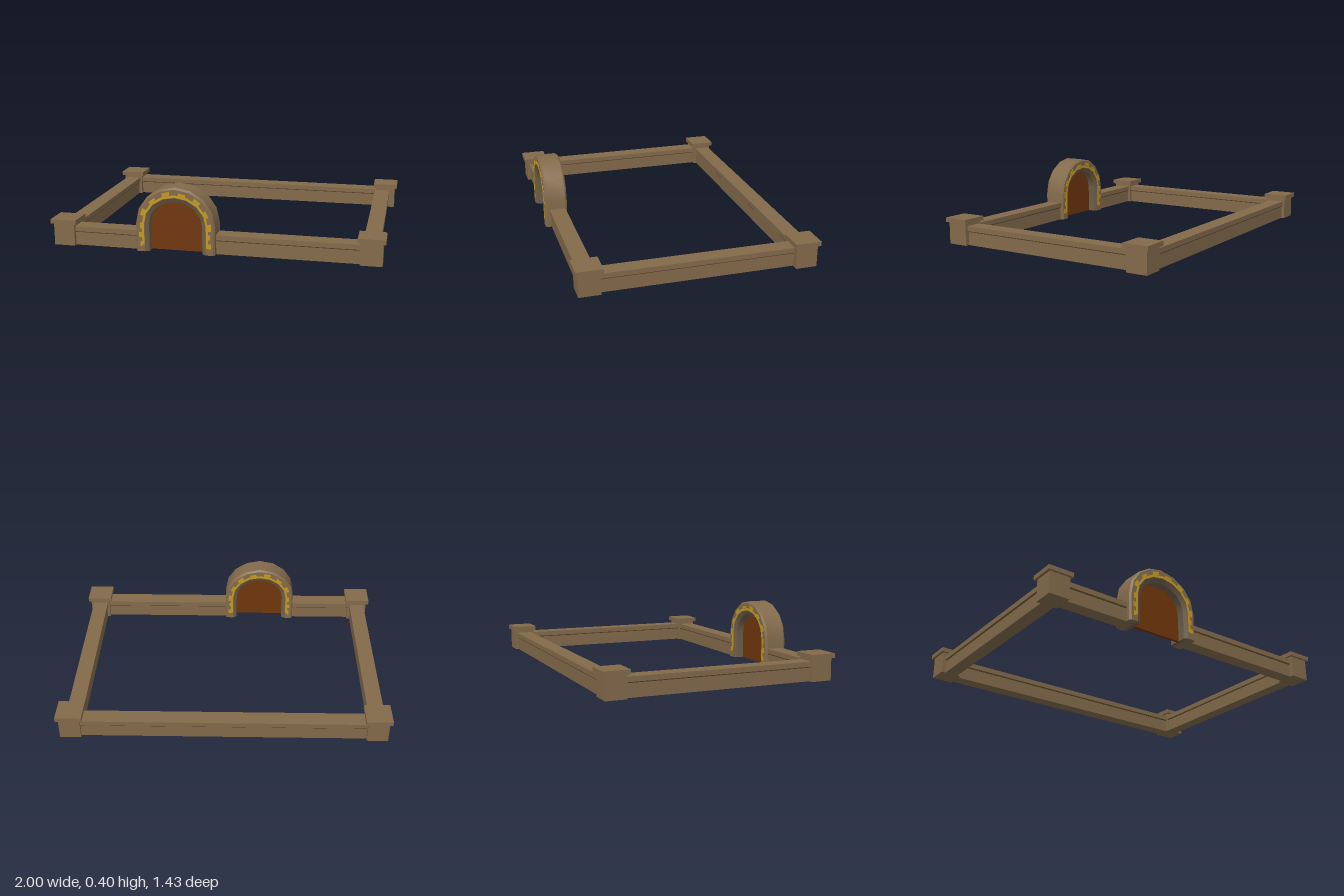
import * as THREE from 'three';
import { toCreasedNormals } from 'three/addons/utils/BufferGeometryUtils.js';

const mat = (name, color) => {
  const m = new THREE.MeshStandardMaterial({ color });
  m.name = name;
  return m;
};

// Arch path: s -1..0 left leg, 0..1 curve, 1..2 right leg; o is the half width
const SPRING = 0.17;
function archPoint(o, s) {
  if (s < 0) return [-o, SPRING * (1 + s)];
  if (s > 1) return [o, SPRING * (2 - s)];
  const a = Math.PI * (1 - s);
  const rise = 0.135 + (o - 0.158) * 1.13;
  return [Math.cos(a) * o, SPRING + Math.sin(a) * rise];
}
function steps(s0, s1) {
  const list = [s0];
  for (let k = 0; k <= 8; k++) if (k / 8 > s0 + 1e-4 && k / 8 < s1 - 1e-4) list.push(k / 8);
  return [...list, s1];
}

// Sweep a convex closed profile of [halfWidth, z] along the arch path
function sweep(profile, s0, s1) {
  const path = steps(s0, s1), n = profile.length, pos = [], idx = [];
  for (const s of path) for (const [o, z] of profile) pos.push(...archPoint(o, s), z);
  for (let i = 0; i < path.length - 1; i++) {
    for (let j = 0; j < n; j++) {
      const a = i * n + j, b = i * n + (j + 1) % n;
      idx.push(a, b, a + n, b, b + n, a + n);
    }
  }
  const e = (path.length - 1) * n;
  for (let j = 1; j < n - 1; j++) idx.push(0, j + 1, j, e, e + j, e + j + 1);
  const g = new THREE.BufferGeometry();
  g.setAttribute('position', new THREE.Float32BufferAttribute(pos, 3));
  g.setIndex(idx);
  return toCreasedNormals(g, 0.6);
}

export function createModel() {
  const model = new THREE.Group();
  model.name = 'walledYard';
  const stone = mat('brownStone', 0x836a4b);
  const lining = mat('greyStone', 0x6f5f4a);
  const gold = mat('gold', 0xc49a20);
  const wood = mat('doorWood', 0x70360c);
  const dark = mat('darkTrim', 0x4d3c22);

  const add = (parent, name, geo, material) => {
    const m = new THREE.Mesh(geo, material);
    m.name = name;
    parent.add(m);
    return m;
  };
  const box = (parent, name, material, x0, x1, y0, y1, z0, z1) =>
    add(parent, name, new THREE.BoxGeometry(x1 - x0, y1 - y0, z1 - z0), material)
      .position.set((x0 + x1) / 2, (y0 + y1) / 2, (z0 + z1) / 2);

  // Corner posts with overhanging caps
  const posts = [[-0.921, 0.635], [0.905, 0.635], [-0.921, -0.637], [0.921, -0.637]];
  for (const [x, z] of posts) {
    const post = new THREE.Group();
    post.name = 'cornerPost';
    box(post, 'postBody', stone, x - 0.064, x + 0.064, 0, 0.134, z - 0.064, z + 0.064);
    box(post, 'postCap', stone, x - 0.079, x + 0.079, 0.134, 0.161, z - 0.078, z + 0.078);
    model.add(post);
  }

  // Low walls: inset body, thin dark trim, and coping
  const walls = [
    [-0.87, 0.87, -0.69, -0.59, 'x'],
    [-0.87, -0.42, 0.583, 0.683, 'x'],
    [-0.04, 0.86, 0.583, 0.683, 'x'],
    [-0.967, -0.869, -0.58, 0.58, 'z'],
    [0.852, 0.95, -0.58, 0.58, 'z'],
  ];
  for (const [x0, x1, z0, z1, along] of walls) {
    const wall = new THREE.Group();
    wall.name = 'wall';
    const layer = (name, material, inset, y0, y1) => {
      const ix = along === 'z' ? inset : 0, iz = along === 'x' ? inset : 0;
      box(wall, name, material, x0 + ix, x1 - ix, y0, y1, z0 + iz, z1 - iz);
    };
    layer('wallBody', stone, 0.008, 0, 0.086);
    layer('wallTrim', dark, 0.005, 0.081, 0.087);
    layer('wallCoping', stone, 0, 0.087, 0.117);
    model.add(wall);
  }

  // Gateway arch
  const gate = new THREE.Group();
  gate.name = 'gateway';
  gate.position.set(-0.228, 0, 0.641);
  model.add(gate);
  add(gate, 'archStone', sweep([
    [0.228, -0.071], [0.238, -0.06], [0.238, 0.06], [0.228, 0.071],
    [0.184, 0.071], [0.184, -0.071],
  ], -1, 2), stone);
  add(gate, 'archLining', sweep([
    [0.184, -0.071], [0.184, 0.071], [0.16, 0.057], [0.16, -0.057],
  ], -1, 2), lining);

  // Gold inlay on both faces: a thin band with blocks stepping outward
  const plate = (name, o0, o1, s0, s1, side) => {
    const z0 = side > 0 ? 0.069 : -0.073, z1 = z0 + 0.004;
    add(gate, name, sweep([[o1, z0], [o1, z1], [o0, z1], [o0, z0]], s0, s1), gold);
  };
  const blocks = [-0.72, -0.4, -0.08, 0.12, 0.27, 0.42, 0.57, 0.72, 0.87, 1.06, 1.36, 1.68];
  for (const side of [1, -1]) {
    plate('goldBand', 0.186, 0.199, -0.75, 1.75, side);
    blocks.forEach((s, i) => {
      const half = s < 0 || s > 1 ? 0.09 : 0.035;
      plate('goldBlock', 0.198, i % 2 ? 0.217 : 0.211, s - half, s + half, side);
    });
  }

  // Door panel filling the opening
  const outline = steps(-1, 2).map((s) => new THREE.Vector2(...archPoint(0.165, s)));
  const door = new THREE.ExtrudeGeometry(new THREE.Shape(outline), { depth: 0.02, bevelEnabled: false });
  add(gate, 'door', door.translate(0, 0, -0.01), wood);

  return model;
}
